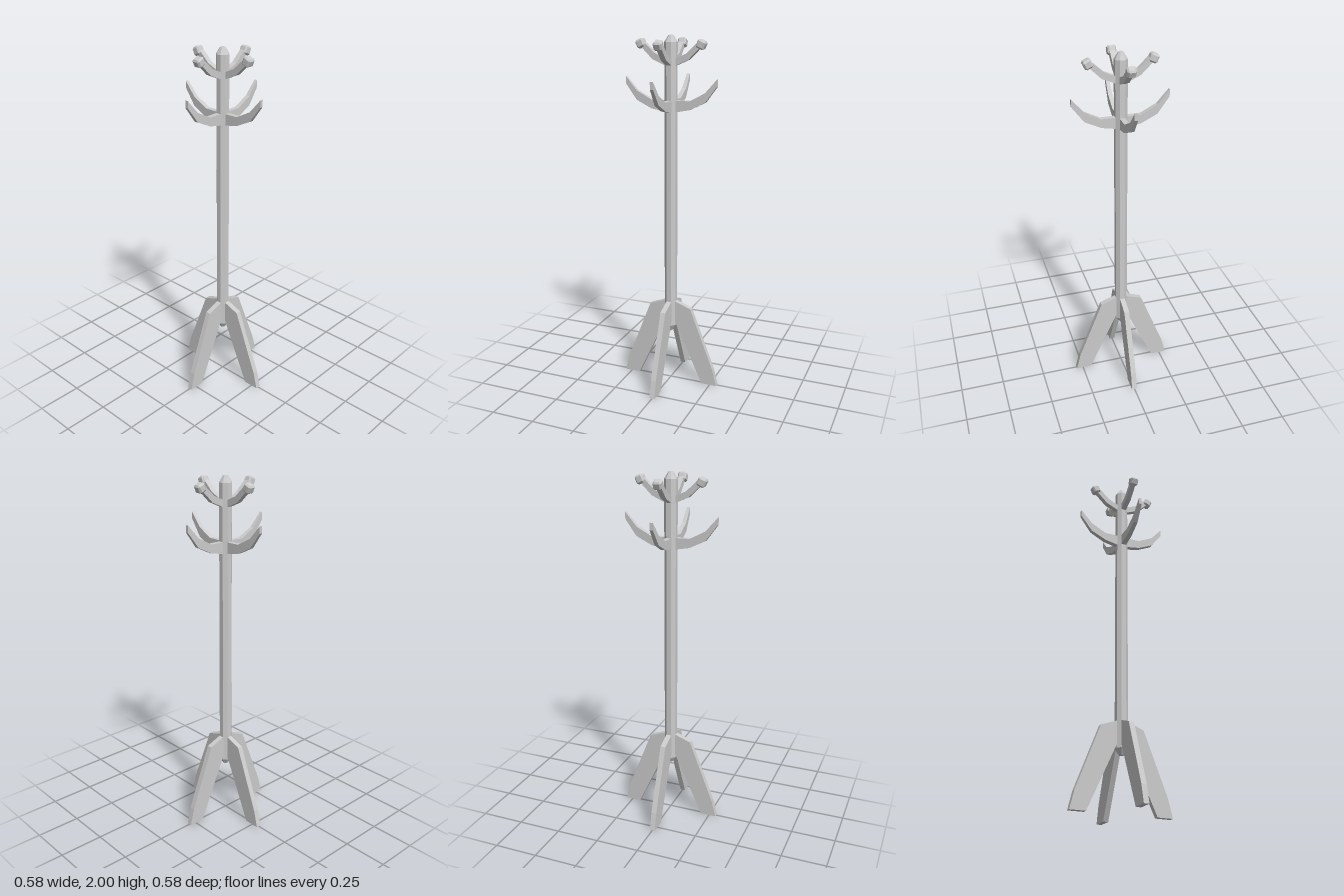
import * as THREE from 'three';
import { ConvexGeometry } from 'three/addons/geometries/ConvexGeometry.js';

const material = new THREE.MeshStandardMaterial({ color: 0xcccccc, flatShading: true });

// Bar running outward along +x; each section is [topX, topY, bottomX, bottomY, halfWidth]
function barGeometry(sections) {
  const positions = [];
  const index = [];
  const quad = (a, b, c, d) => index.push(a, b, c, a, c, d);
  for (const [tx, ty, bx, by, w] of sections) {
    positions.push(tx, ty, w, tx, ty, -w, bx, by, -w, bx, by, w);
  }
  const last = (sections.length - 1) * 4;
  for (let i = 0; i < last; i += 4) {
    for (let k = 0; k < 4; k++) {
      const n = (k + 1) % 4;
      quad(i + k, i + 4 + k, i + 4 + n, i + n);
    }
  }
  quad(0, 1, 2, 3);
  quad(last + 3, last + 2, last + 1, last);
  const geometry = new THREE.BufferGeometry();
  geometry.setAttribute('position', new THREE.Float32BufferAttribute(positions, 3));
  geometry.setIndex(index);
  const flat = geometry.toNonIndexed();
  flat.computeVertexNormals();
  return flat;
}

// Cube with every edge and corner chamfered
function knobGeometry(a, b) {
  const points = [];
  for (const x of [-1, 1]) for (const y of [-1, 1]) for (const z of [-1, 1]) {
    points.push(
      new THREE.Vector3(x * a, y * b, z * b),
      new THREE.Vector3(x * b, y * a, z * b),
      new THREE.Vector3(x * b, y * b, z * a)
    );
  }
  return new ConvexGeometry(points);
}

function part(name, geometry) {
  const mesh = new THREE.Mesh(geometry, material);
  mesh.name = name;
  return mesh;
}

export function createModel() {
  const model = new THREE.Group();
  model.name = 'coatStand';

  // Octagonal pole with chamfered ends, flats facing the arms
  const profile = [[0, 0.31], [0.014, 0.31], [0.036, 0.345], [0.036, 1.965], [0.014, 2], [0, 2]]
    .map(([r, y]) => new THREE.Vector2(r, y));
  model.add(part('pole', new THREE.LatheGeometry(profile, 8, Math.PI / 8)));

  const leg = barGeometry([
    [0, 0.5, 0, 0.435, 0.015],
    [0.03, 0.495, 0.02, 0.393, 0.015],
    [0.125, 0.46, 0.05, 0.327, 0.015],
    [0.265, 0.1, 0.154, 0.1, 0.015],
    [0.29, 0, 0.2, 0, 0.015],
  ]);
  const lowerHook = barGeometry([
    [0, 1.656, 0, 1.588, 0.015],
    [0.035, 1.656, 0.035, 1.594, 0.015],
    [0.11, 1.656, 0.11, 1.608, 0.014],
    [0.198, 1.702, 0.198, 1.65, 0.012],
    [0.264, 1.777, 0.264, 1.738, 0.009],
  ]);
  const upperHook = barGeometry([
    [0, 1.874, 0, 1.838, 0.015],
    [0.03, 1.878, 0.035, 1.843, 0.015],
    [0.09, 1.905, 0.103, 1.873, 0.015],
    [0.15, 1.96, 0.17, 1.938, 0.015],
  ]);
  const knob = knobGeometry(0.0235, 0.015);

  // Four identical sides around the pole
  for (let i = 0; i < 4; i++) {
    const side = new THREE.Group();
    side.name = ['left', 'back', 'right', 'front'][i] + 'Side';
    side.rotation.y = i * Math.PI / 2;
    const tip = part('hookKnob', knob);
    tip.position.set(0.173, 1.954, 0);
    tip.rotation.z = THREE.MathUtils.degToRad(65);
    side.add(part('leg', leg), part('lowerHook', lowerHook), part('upperHook', upperHook), tip);
    model.add(side);
  }
  return model;
}
